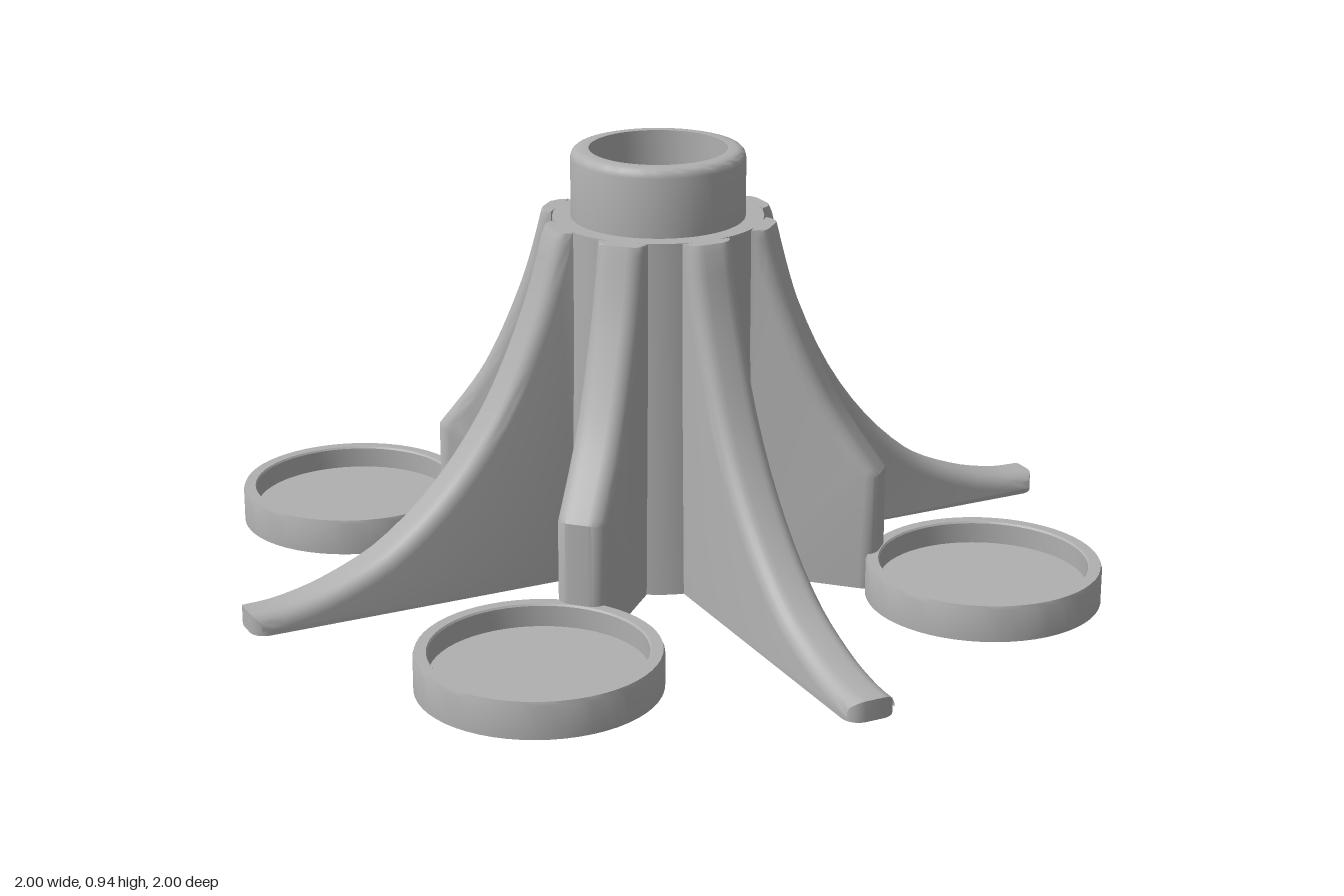
import * as THREE from 'three';
import { toCreasedNormals } from 'three/addons/utils/BufferGeometryUtils.js';

const TOP = 0.79;        // height of the hub shoulder
const HALF = 0.055;      // half thickness of a fin
const ROUND = 0.035;     // edge rounding of a fin
const INNER = 0.228;     // where fins sink into the hub wall

const v2 = (pts) => pts.map(([x, y]) => new THREE.Vector2(x, y));

function lathe(points, segments) {
  return toCreasedNormals(new THREE.LatheGeometry(v2(points), segments), 0.6);
}

// Fin with rounded outer edges; the curve runs from its outer end up to the hub.
// The outline overshoots the hub, floor and shoulder and is pressed flat there.
function finGeometry(curvePoints) {
  const curve = new THREE.SplineCurve(v2(curvePoints)).getPoints(28);
  const end = curve[0].x;
  const shape = new THREE.Shape([
    ...v2([[INNER - ROUND, -ROUND], [end, -ROUND]]),
    ...curve,
    new THREE.Vector2(INNER - ROUND, TOP + ROUND),
  ]);
  const depth = 2 * (HALF - ROUND);
  const geo = new THREE.ExtrudeGeometry(shape, {
    depth, bevelEnabled: true, bevelThickness: ROUND, bevelSize: ROUND,
    bevelOffset: -ROUND, bevelSegments: 6,
  });
  geo.translate(0, 0, -depth / 2);
  const p = geo.attributes.position;
  for (let i = 0; i < p.count; i++) {
    p.setX(i, Math.max(INNER, p.getX(i)));
    p.setY(i, THREE.MathUtils.clamp(p.getY(i), 0, TOP));
  }
  return toCreasedNormals(geo, 0.6);
}

export function createModel() {
  const model = new THREE.Group();
  const grey = new THREE.MeshStandardMaterial({ color: 0xb0b0b0 });
  grey.name = 'grey';

  const add = (name, geometry, angle = 0, radius = 0) => {
    const mesh = new THREE.Mesh(geometry, grey);
    mesh.name = name;
    mesh.rotation.y = angle;
    mesh.position.set(Math.cos(angle) * radius, 0, -Math.sin(angle) * radius);
    model.add(mesh);
  };

  // Hollow tapered hub with a narrower collar on top
  add('hub', lathe([
    [0.22, 0], [0.245, 0], [0.23, TOP], [0.19, TOP],
    [0.19, 0.92], [0.187, 0.931], [0.181, 0.937], [0.17, 0.94],
    [0.15, 0.94], [0.15, TOP], [0.2, 0.74], [0.22, 0],
  ], 64));

  // Upper sweep shared by both kinds of fin
  const sweep = [[0.515, 0.26], [0.4, 0.42], [0.31, 0.62], [0.26, TOP], [0.252, TOP + ROUND]];
  const shortFin = finGeometry(sweep);
  const longFin = finGeometry([[0.97, 0.045], [0.89, 0.05], [0.78, 0.078], [0.65, 0.14], ...sweep]);

  // Shallow round dish with a raised rim
  const dish = lathe([
    [0, 0], [0.255, 0], [0.255, 0.072], [0.252, 0.08], [0.228, 0.08],
    [0.225, 0.076], [0.225, 0.03], [0, 0.03],
  ], 56);

  for (let i = 0; i < 4; i++) {
    const angle = i * Math.PI / 2;
    add('shortFin', shortFin, angle);
    add('dish', dish, angle, 0.745);
    add('longFin', longFin, angle + Math.PI / 4);
  }
  return model;
}
